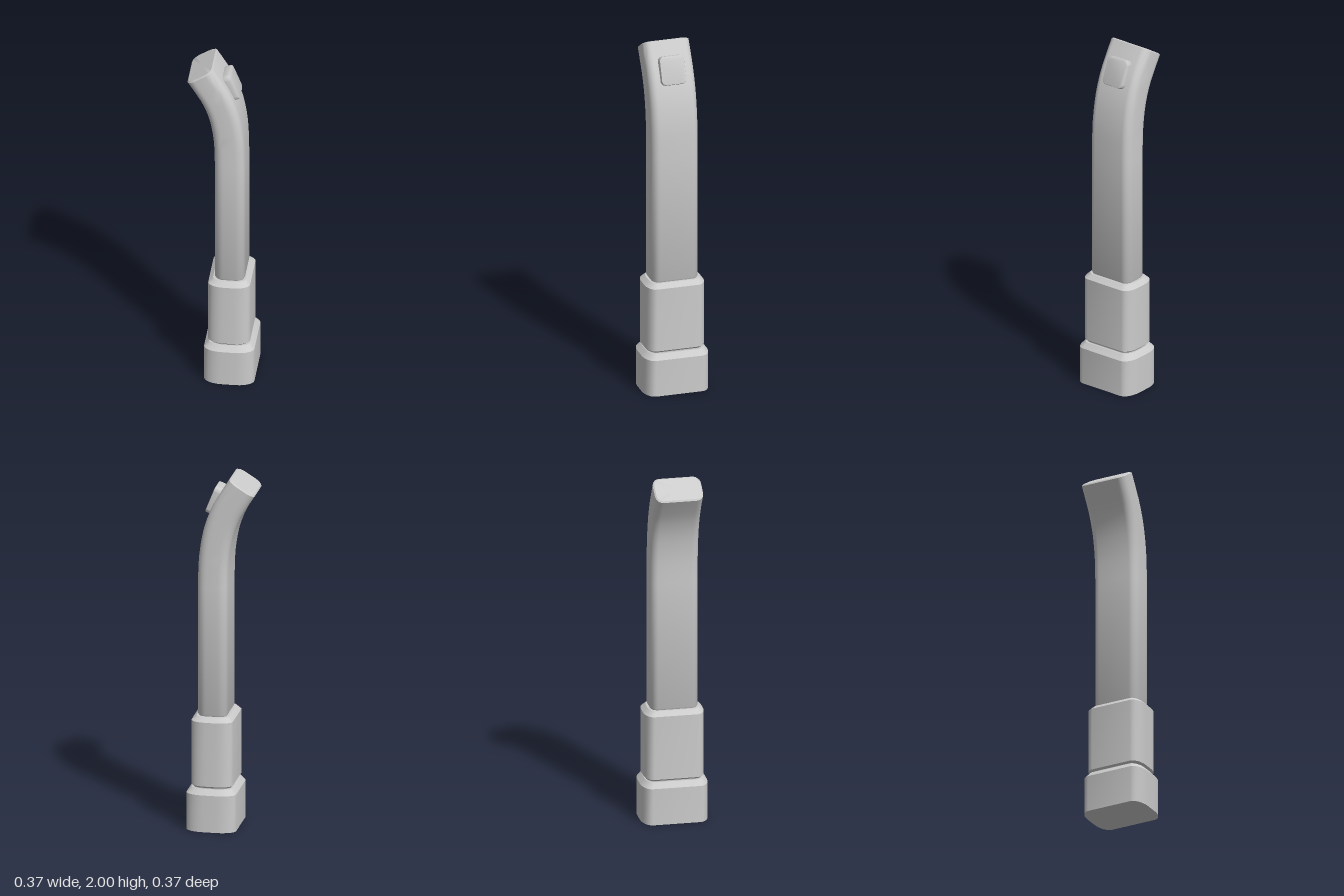
import * as THREE from 'three';
import { toCreasedNormals } from 'three/addons/utils/BufferGeometryUtils.js';

const material = new THREE.MeshStandardMaterial({ color: 0xcccccc });
const CORNER_STEPS = 6;

// Rounded rectangle with elliptical corners, as [u, v] pairs
function section(hu, hv, ru, rv) {
  const points = [];
  for (let q = 0; q < 4; q++) {
    const su = q === 0 || q === 3 ? 1 : -1;
    const sv = q < 2 ? 1 : -1;
    for (let i = 0; i <= CORNER_STEPS; i++) {
      const a = (q + i / CORNER_STEPS) * Math.PI / 2;
      points.push([su * (hu - ru) + ru * Math.cos(a), sv * (hv - rv) + rv * Math.sin(a)]);
    }
  }
  return points;
}

// Capped loft; each ring: x, y, half width, half depth, corner radii, tangent (tx, ty)
function loft(name, rings) {
  const pos = [], index = [];
  const n = 4 * (CORNER_STEPS + 1);
  for (const { x, y, hu, hv, ru, rv, tx = 0, ty = 1 } of rings) {
    for (const [u, v] of section(hu, hv, ru, rv)) pos.push(x + u * ty, y - u * tx, -v);
  }
  for (let r = 0; r < rings.length - 1; r++) {
    for (let i = 0; i < n; i++) {
      const a = r * n + i, b = r * n + (i + 1) % n;
      index.push(a, b, b + n, a, b + n, a + n);
    }
  }
  const last = rings.length - 1;
  const bottom = pos.length / 3, top = bottom + 1;
  pos.push(rings[0].x, rings[0].y, 0, rings[last].x, rings[last].y, 0);
  for (let i = 0; i < n; i++) {
    const j = (i + 1) % n;
    index.push(bottom, j, i, top, last * n + i, last * n + j);
  }
  const geometry = new THREE.BufferGeometry();
  geometry.setAttribute('position', new THREE.Float32BufferAttribute(pos, 3));
  geometry.setIndex(index);
  const mesh = new THREE.Mesh(toCreasedNormals(geometry, 0.6), material);
  mesh.name = name;
  return mesh;
}

// Straight stepped block from [y, inset] levels
function block(name, x, hu, hv, ru, rv, levels) {
  return loft(name, levels.map(([y, d]) => ({ x, y, hu: hu - d, hv: hv - d, ru: ru - d * 0.5, rv: rv - d * 0.5 })));
}

function createModel() {
  const group = new THREE.Group();

  // Stepped lower sections and the groove between them
  group.add(block('base', 0.048, 0.138, 0.186, 0.1, 0.055, [[0, 0], [0.21, 0], [0.24, 0.025]]));
  group.add(block('groove', 0.046, 0.105, 0.155, 0.08, 0.05, [[0.235, 0], [0.26, 0]]));
  group.add(block('collar', 0.046, 0.115, 0.167, 0.085, 0.05,
    [[0.245, 0.01], [0.255, 0], [0.62, 0], [0.645, 0.025]]));

  // Long shaft that curves over at the top
  const curve = new THREE.CatmullRomCurve3([
    [0.047, 1.4], [0.04, 1.55], [0.016, 1.69], [-0.024, 1.8], [-0.07, 1.881], [-0.115, 1.952],
  ].map(([x, y]) => new THREE.Vector3(x, y, 0)));
  const full = { hu: 0.083, hv: 0.134, ru: 0.05, rv: 0.042 };
  const slim = { hu: 0.075, hv: 0.126, ru: 0.044, rv: 0.036 };
  const rings = [
    { x: 0.047, y: 0.64, ...slim }, { x: 0.047, y: 0.655, ...full }, { x: 0.047, y: 1.38, ...full },
  ];
  const steps = 12;
  for (let i = 1; i <= steps; i++) {
    const p = curve.getPointAt(i / steps), t = curve.getTangentAt(i / steps);
    rings.push({ x: p.x, y: p.y, tx: t.x, ty: t.y, ...full });
  }
  // Slightly eased end face
  const end = rings[rings.length - 1];
  rings.push({ ...end, ...slim, x: end.x + end.tx * 0.006, y: end.y + end.ty * 0.006 });
  group.add(loft('shaft', rings));

  // Raised button on the outside of the bend
  const outline = new THREE.Shape(section(0.072, 0.062, 0.018, 0.018).map(([u, v]) => new THREE.Vector2(v, u)).reverse());
  const geometry = new THREE.ExtrudeGeometry(outline, {
    depth: 0.045, bevelThickness: 0.008, bevelSize: 0.008, bevelOffset: 0, bevelSegments: 2,
  });
  const button = new THREE.Mesh(toCreasedNormals(geometry, 0.6), material);
  const normal = new THREE.Vector3(0.93, 0.37, 0).normalize();
  const up = new THREE.Vector3(-normal.y, normal.x, 0);
  const side = new THREE.Vector3().crossVectors(up, normal);
  button.quaternion.setFromRotationMatrix(new THREE.Matrix4().makeBasis(side, up, normal));
  button.position.set(0.07, 1.865, 0).addScaledVector(normal, -0.053);
  button.name = 'button';
  group.add(button);

  return group;
}

export { createModel };
